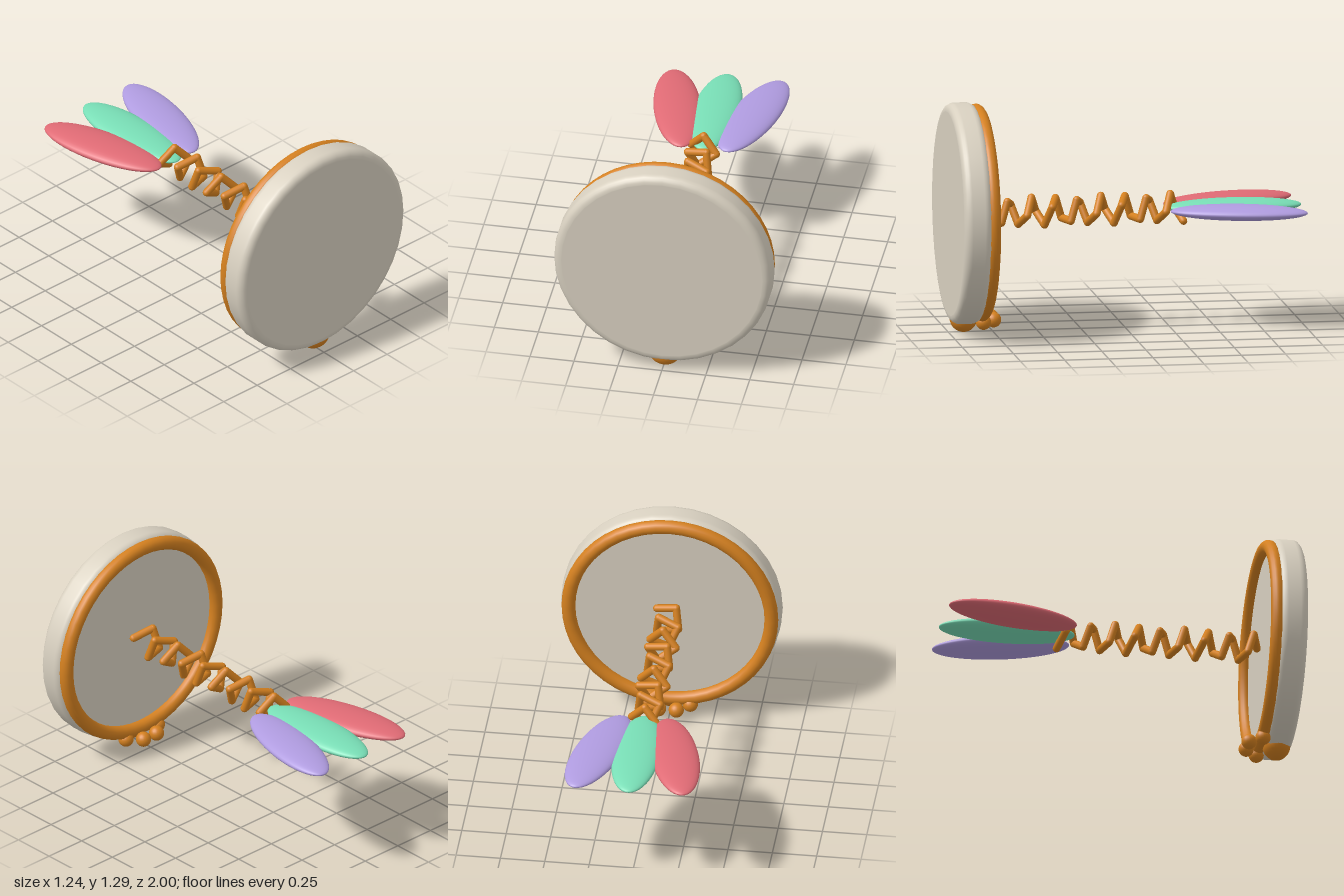
import * as THREE from 'three';

const CY = 0.672; // height of the disc axis

function material(name, color) {
  const m = new THREE.MeshStandardMaterial({ color });
  m.name = name;
  return m;
}

export function createModel() {
  const model = new THREE.Group();
  model.name = 'model';
  const ivory = material('ivory', 0xd8d0c0);
  const orange = material('orange', 0xd4801f);
  const rose = material('rose', 0xdf6a74);
  const mint = material('mint', 0x78ddb5);
  const lilac = material('lilac', 0xaf9bdf);

  const add = (name, geometry, mat, x, y, z, parent = model) => {
    const mesh = new THREE.Mesh(geometry, mat);
    mesh.name = name;
    mesh.position.set(x, y, z);
    parent.add(mesh);
    return mesh;
  };

  // Thick disc with rounded rims, turned around the z axis
  const R = 0.62, back = 0.84, front = 1, bevel = 0.045;
  const profile = [new THREE.Vector2(0, back), new THREE.Vector2(R - bevel - 0.004, back)];
  for (const [z, start] of [[back + bevel, -Math.PI / 2], [front - bevel, 0]]) {
    for (let i = 0; i <= 5; i++) {
      const a = start + (i / 5) * Math.PI / 2;
      profile.push(new THREE.Vector2(R - bevel + bevel * Math.cos(a), z + bevel * Math.sin(a)));
    }
  }
  profile.push(new THREE.Vector2(R - bevel - 0.004, front), new THREE.Vector2(0, front));
  const discGeometry = new THREE.LatheGeometry(profile, 36);
  discGeometry.rotateX(Math.PI / 2);
  add('disc', discGeometry, ivory, 0, CY, 0);

  // Ring around the back of the disc
  add('backRing', new THREE.TorusGeometry(0.572, 0.039, 16, 48), orange, 0, CY, 0.83);

  // Coiled tail made of straight rounded links
  const coil = new THREE.Group();
  coil.name = 'coiledTail';
  model.add(coil);
  const coilPoint = (k) => {
    const a = 2 * Math.PI * (0.068 + k * 3 / 11);
    return new THREE.Vector3(0.078 * Math.cos(a), CY + 0.078 * Math.sin(a), 0.815 - k * 0.0357);
  };
  const up = new THREE.Vector3(0, 1, 0);
  for (let k = 0; k < 32; k++) {
    const a = coilPoint(k), b = coilPoint(k + 1);
    const mid = a.clone().add(b).multiplyScalar(0.5);
    const link = add('coilLink', new THREE.CapsuleGeometry(0.022, a.distanceTo(b), 4, 12),
      orange, mid.x, mid.y, mid.z, coil);
    link.quaternion.setFromUnitVectors(up, b.clone().sub(a).normalize());
  }

  // Fan of three flat petals at the end of the tail
  const petalGeometry = new THREE.SphereGeometry(1, 36, 24);
  petalGeometry.rotateX(Math.PI / 2);
  petalGeometry.scale(0.134, 0.043, 0.385);
  for (const [name, mat, side] of [['rightPetal', rose, -1], ['middlePetal', mint, 0], ['leftPetal', lilac, 1]]) {
    const petal = add(name, petalGeometry, mat, side * 0.216, CY, -0.613);
    petal.rotation.y = -side * 0.245;
  }

  // Small foot under the disc: a heel and four round toes
  const heel = add('heel', new THREE.SphereGeometry(1, 24, 16), orange, 0.003, 0.08, 0.915);
  heel.scale.set(0.092, 0.08, 0.078);
  for (const side of [-1, 1]) {
    for (const [x, z] of [[0.12, 0.82], [0.05, 0.752]]) {
      add('toe', new THREE.SphereGeometry(0.043, 20, 14), orange, 0.004 + side * x, 0.072, z);
    }
  }

  return model;
}
